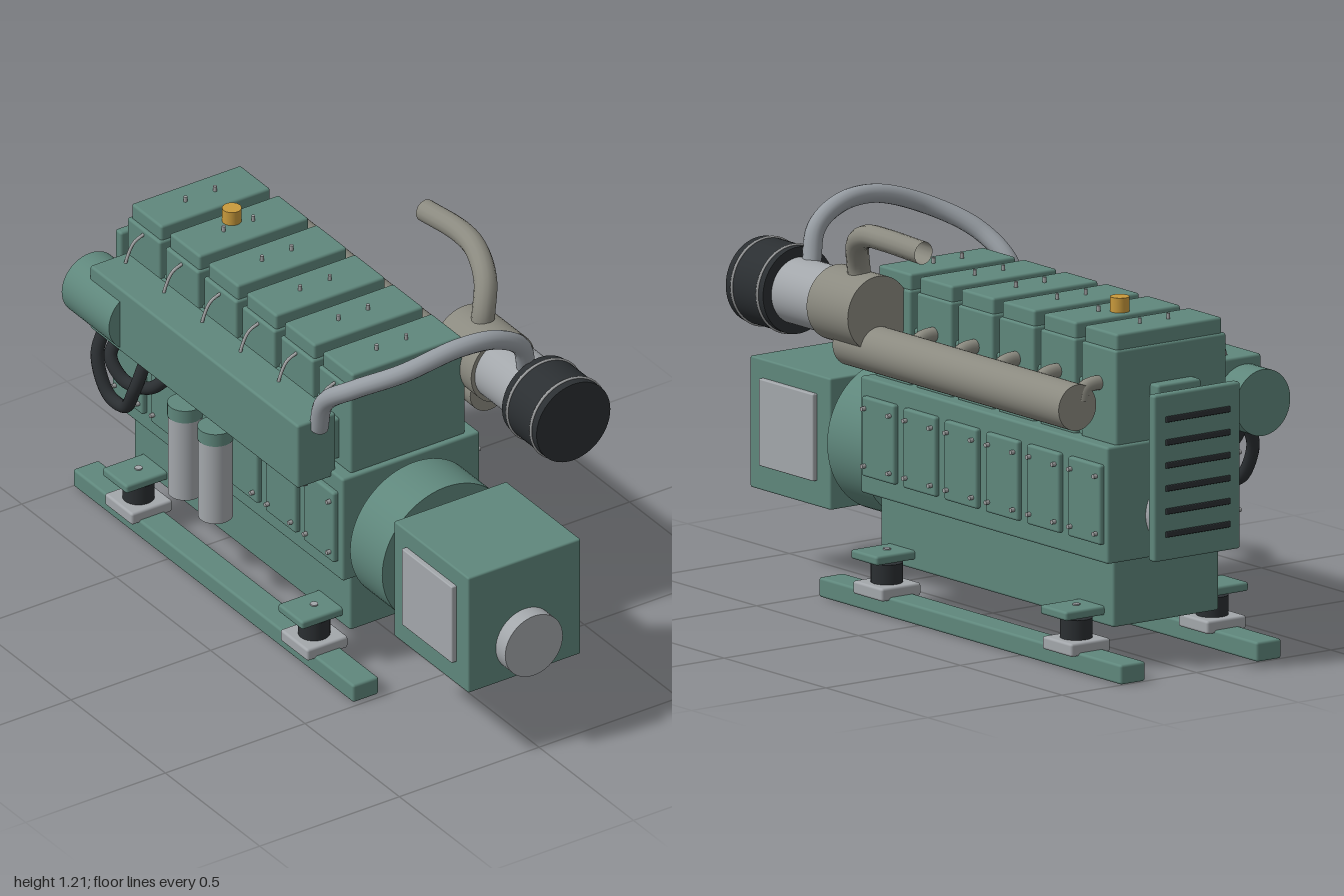
import * as THREE from 'three';
import { RoundedBoxGeometry } from 'three/addons/geometries/RoundedBoxGeometry.js';

const CX = -0.018; // engine centre line
const mat = (color, side = THREE.FrontSide) => new THREE.MeshStandardMaterial({ color, side });

export function createModel() {
  const root = new THREE.Group();
  const green = mat(0x5f877c), silver = mat(0xa3a7ab), steel = mat(0x9fa1a2);
  const warm = mat(0x8b8a80, THREE.DoubleSide), black = mat(0x2b2f32), gold = mat(0xc99a3c);
  const hoseGrey = mat(0x969ca2, THREE.DoubleSide);

  const add = (name, geo, m, x = 0, y = 0, z = 0) => {
    const mesh = new THREE.Mesh(geo, m);
    mesh.name = name;
    mesh.position.set(x, y, z);
    root.add(mesh);
    return mesh;
  };
  // box given by its limits on each axis
  const box = (name, m, x0, x1, y0, y1, z0, z1, r = 0.008) =>
    add(name, new RoundedBoxGeometry(x1 - x0, y1 - y0, z1 - z0, 2, r), m,
      (x0 + x1) / 2, (y0 + y1) / 2, (z0 + z1) / 2);
  // cylinder along z, y or x
  const cylZ = (name, m, r, x, y, z0, z1, seg = 48) => {
    const c = add(name, new THREE.CylinderGeometry(r, r, z1 - z0, seg), m, x, y, (z0 + z1) / 2);
    c.rotation.x = Math.PI / 2;
    return c;
  };
  const cylY = (name, m, r, x, y0, y1, z, seg = 32) =>
    add(name, new THREE.CylinderGeometry(r, r, y1 - y0, seg), m, x, (y0 + y1) / 2, z);
  const cylX = (name, m, r, x0, x1, y, z, seg = 16) => {
    const c = add(name, new THREE.CylinderGeometry(r, r, x1 - x0, seg), m, (x0 + x1) / 2, y, z);
    c.rotation.z = Math.PI / 2;
    return c;
  };
  const tube = (name, m, r, pts, seg = 40) => add(name, new THREE.TubeGeometry(
    new THREE.CatmullRomCurve3(pts.map(p => new THREE.Vector3(...p))), seg, r, 14), m);

  // Base rails and vibration mounts
  for (const s of [-1, 1]) {
    const x = CX + s * 0.253;
    box('rail', green, x - 0.046, x + 0.046, 0, 0.06, -1, 0.485);
    for (const z of [0.21, -0.72]) {
      box('mountPad', silver, x - 0.073, x + 0.073, 0.05, 0.09, z - 0.073, z + 0.073);
      cylY('mountRubber', black, 0.048, x, 0.09, 0.15, z);
      cylY('mountStud', silver, 0.012, x, 0.15, 0.192, z, 12);
      const inner = CX + s * 0.17, outer = CX + s * 0.34;
      box('mountBracket', green, Math.min(inner, outer), Math.max(inner, outer), 0.16, 0.188, z - 0.065, z + 0.065);
    }
  }

  // Lower engine
  box('oilPan', green, -0.213, 0.18, 0.13, 0.345, -0.83, 0.315);
  box('crankcase', green, -0.263, 0.228, 0.335, 0.69, -0.865, 0.35);
  box('cylinderBlock', green, -0.205, 0.172, 0.68, 0.86, -0.845, 0.325);

  // One bay per cylinder: head, cover, doors, fuel line and exhaust stub
  for (let i = 0; i < 6; i++) {
    const z = 0.245 - i * 0.2025;
    box('cylinderHead', green, -0.222, 0.188, 0.685, 0.977, z - 0.087, z + 0.087);
    box('headCover', green, -0.211, 0.18, 0.96, 1.025, z - 0.08, z + 0.08);
    for (const x of [CX - 0.053, CX + 0.053]) cylY('coverBolt', steel, 0.006, x, 1.02, 1.042, z, 10);
    for (const s of [-1, 1]) {
      const a = CX + s * 0.235, b = CX + s * 0.262;
      box('accessDoor', green, Math.min(a, b), Math.max(a, b), 0.392, 0.635, z - 0.08, z + 0.08);
      for (const y of [0.425, 0.6]) for (const dz of [-0.062, 0.062]) {
        const c = CX + s * 0.266;
        cylX('doorBolt', steel, 0.007, c - 0.009, c + 0.009, y, z + dz, 8);
      }
    }
    tube('fuelLine', steel, 0.005,
      [[-0.29, 0.86, z], [-0.28, 0.9, z], [-0.255, 0.945, z], [-0.21, 0.965, z]], 16);
    tube('exhaustStub', warm, 0.022,
      [[0.17, 0.865, z], [0.215, 0.865, z], [0.243, 0.855, z], [0.255, 0.82, z]], 16);
  }
  cylY('fillerCap', gold, 0.029, CX, 1.02, 1.07, -0.6);

  // Flywheel housing, gearbox and output shaft
  cylZ('flywheelHousing', green, 0.229, CX, 0.447, 0.365, 0.535, 64);
  cylZ('couplingHub', green, 0.16, CX, 0.447, 0.34, 0.57);
  box('gearbox', green, -0.219, 0.184, 0.237, 0.637, 0.555, 0.95, 0.006);
  for (const s of [-1, 1]) {
    const c = CX + s * 0.208;
    box('gearboxSidePlate', silver, c - 0.01, c + 0.01, 0.315, 0.58, 0.62, 0.887, 0.004);
  }
  cylZ('outputShaft', silver, 0.103, CX, 0.36, 0.94, 1);

  // Exhaust manifold, turbocharger and air filter
  cylZ('exhaustManifold', warm, 0.07, 0.28, 0.805, -0.785, 0.325);
  cylZ('turbineHousing', warm, 0.114, 0.282, 0.915, 0.19, 0.392);
  cylZ('compressorHousing', silver, 0.101, 0.282, 0.915, 0.385, 0.595);
  cylZ('airFilter', black, 0.132, 0.282, 0.915, 0.582, 0.765, 64);
  for (const z of [0.61, 0.735])
    add('filterBand', new THREE.TorusGeometry(0.132, 0.005, 8, 64), steel, 0.282, 0.915, z);
  tube('exhaustPipe', warm, 0.035, [[0.28, 0.96, 0.275], [0.292, 1.05, 0.275], [0.325, 1.125, 0.235],
    [0.358, 1.17, 0.14], [0.37, 1.178, 0.04], [0.36, 1.168, -0.135]]);
  tube('intakeHose', hoseGrey, 0.029, [[-0.305, 0.855, 0.285], [-0.308, 0.96, 0.32], [-0.275, 1.05, 0.43],
    [-0.17, 1.12, 0.53], [0.0, 1.173, 0.575], [0.13, 1.16, 0.58], [0.225, 1.1, 0.57], [0.262, 1.0, 0.545]], 60);

  // Intake side: plenum, cooler, hoses and filters
  box('intakePlenum', green, -0.382, -0.245, 0.667, 0.885, -0.815, 0.287);
  box('plenumFlange', green, -0.26, -0.2, 0.71, 0.85, -0.8, 0.27);
  cylZ('oilCooler', green, 0.101, -0.32, 0.76, -0.905, -0.655);
  tube('coolantHose', black, 0.02, [[-0.345, 0.69, -0.78], [-0.385, 0.6, -0.77], [-0.385, 0.49, -0.71],
    [-0.375, 0.48, -0.64], [-0.38, 0.57, -0.58], [-0.35, 0.68, -0.56]]);
  tube('coolantHose', black, 0.02, [[-0.35, 0.68, -0.71], [-0.385, 0.63, -0.7], [-0.375, 0.57, -0.64],
    [-0.345, 0.58, -0.55], [-0.31, 0.635, -0.49], [-0.27, 0.64, -0.45]]);
  for (const z of [-0.41, -0.25]) {
    cylY('oilFilter', silver, 0.052, -0.313, 0.28, 0.555, z);
    cylY('oilFilterHead', green, 0.054, -0.313, 0.55, 0.592, z);
    cylY('oilFilterNeck', steel, 0.012, -0.29, 0.585, 0.675, z, 12);
    box('filterBracket', green, -0.31, -0.25, 0.555, 0.588, z - 0.03, z + 0.03);
  }

  // Rear drive: pulleys, belt and slotted guard
  box('pumpHousing', green, CX - 0.08, CX + 0.08, 0.68, 0.862, -0.895, -0.83);
  cylZ('upperPulley', silver, 0.07, CX, 0.76, -0.925, -0.88);
  cylZ('lowerPulley', silver, 0.105, CX, 0.465, -0.925, -0.86);
  for (const s of [-1, 1]) {
    // straight run of the belt, tangent to both pulleys
    const run = box('driveBelt', black, -0.008, 0.008, 0.465, 0.76, -0.93, -0.908, 0.003);
    run.position.x = CX + s * 0.09;
    run.rotation.z = s * 0.118;
  }
  cylZ('guardHub', steel, 0.025, CX, 0.465, -0.96, -0.9, 20);
  cylZ('guardHub', steel, 0.025, CX, 0.76, -0.96, -0.9, 20);
  box('beltGuard', green, CX - 0.16, CX + 0.16, 0.35, 0.857, -0.982, -0.95);
  for (let i = 0; i < 6; i++) {
    const y = 0.43 + i * 0.07;
    box('guardSlot', black, CX - 0.12, CX + 0.12, y - 0.009, y + 0.009, -0.988, -0.975, 0.003);
  }
  return root;
}
